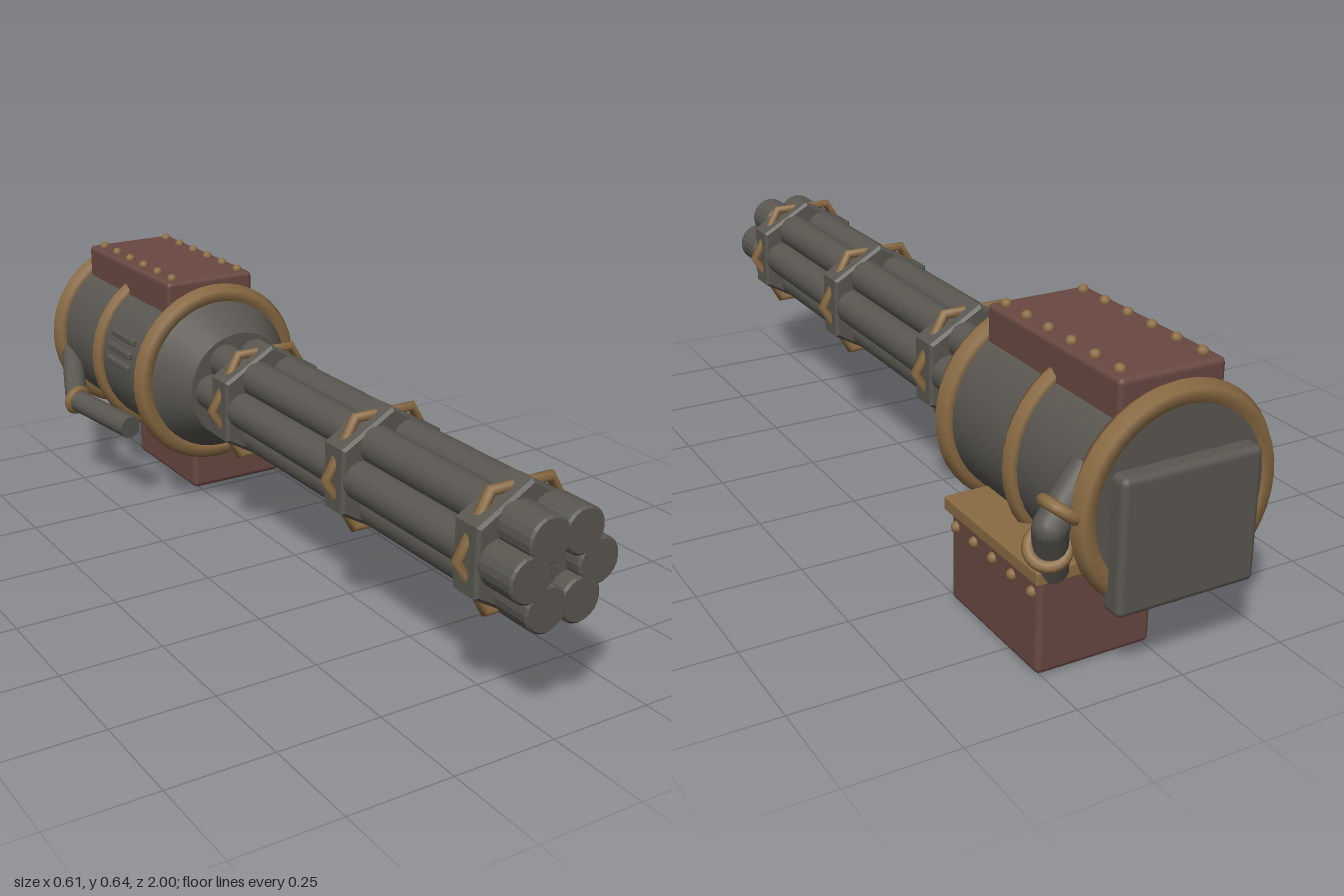
import * as THREE from 'three';
import { RoundedBoxGeometry } from 'three/addons/geometries/RoundedBoxGeometry.js';

const AXIS_Y = 0.375; // height of the barrel axis

export function createModel() {
  const steel = new THREE.MeshStandardMaterial({ name: 'gunmetal', color: 0x5a5751 });
  const brass = new THREE.MeshStandardMaterial({ name: 'brass', color: 0x8a6b43 });
  const red = new THREE.MeshStandardMaterial({ name: 'oxideRed', color: 0x694842 });
  const model = new THREE.Group();
  model.name = 'rotaryCannon';

  const add = (name, geometry, material, x = 0, y = 0, z = 0) => {
    const mesh = new THREE.Mesh(geometry, material);
    mesh.name = name;
    mesh.position.set(x, y, z);
    model.add(mesh);
    return mesh;
  };
  // Cylinder or cone along z, from z0 (back) to z1 (front)
  const along = (name, rBack, rFront, z0, z1, x = 0, y = AXIS_Y, sides = 32) =>
    add(name, new THREE.CylinderGeometry(rFront, rBack, z1 - z0, sides).rotateX(Math.PI / 2),
      steel, x, y, (z0 + z1) / 2);
  // Bevelled prism along z with the given number of sides
  const prism = (name, radius, sides, startAngle, z0, z1, bevel, x = 0, y = AXIS_Y) => {
    const points = [];
    for (let i = 0; i < sides; i++) {
      const a = startAngle + (i / sides) * Math.PI * 2;
      points.push(new THREE.Vector2(Math.cos(a), Math.sin(a)).multiplyScalar(radius - bevel));
    }
    const geometry = new THREE.ExtrudeGeometry(new THREE.Shape(points), {
      depth: z1 - z0 - 2 * bevel, bevelThickness: bevel, bevelSize: bevel, bevelSegments: 1,
    });
    return add(name, geometry, steel, x, y, z0 + bevel);
  };
  const box = (name, material, x0, x1, y0, y1, z0, z1, bevel) =>
    add(name, new RoundedBoxGeometry(x1 - x0, y1 - y0, z1 - z0, 2, bevel), material,
      (x0 + x1) / 2, (y0 + y1) / 2, (z0 + z1) / 2);
  const rivet = (x, y, z) => add('rivet', new THREE.SphereGeometry(0.013, 10, 8), brass, x, y, z);
  // Bent pipe: straight runs with ball joints
  const pipe = (name, coords, radius) => {
    const points = coords.map((p) => new THREE.Vector3(...p));
    for (let i = 0; i < points.length - 1; i++) {
      const dir = points[i + 1].clone().sub(points[i]);
      const run = add(name, new THREE.CylinderGeometry(radius, radius, dir.length(), 16), steel);
      run.position.copy(points[i]).addScaledVector(dir, 0.5);
      run.quaternion.setFromUnitVectors(new THREE.Vector3(0, 1, 0), dir.normalize());
      if (i > 0) add(name + 'Joint', new THREE.SphereGeometry(radius, 16, 12), steel, ...coords[i]);
    }
  };
  const collar = (name, at, dir, radius, tube) => {
    const ring = add(name, new THREE.TorusGeometry(radius, tube, 8, 20), brass, ...at);
    ring.quaternion.setFromUnitVectors(new THREE.Vector3(0, 0, 1), new THREE.Vector3(...dir).normalize());
  };

  // Six barrels with thicker muzzles around a core
  for (let i = 0; i < 6; i++) {
    const a = (i * Math.PI) / 3;
    const x = Math.cos(a) * 0.085, y = AXIS_Y + Math.sin(a) * 0.085;
    along('barrel', 0.045, 0.045, -0.3, 0.92, x, y, 20);
    prism('muzzle', 0.052, 20, 0, 0.9, 1, 0.005, x, y);
  }
  along('barrelCore', 0.055, 0.055, -0.3, 0.96);

  // Hexagonal clamps, each with a brass band turned half a side
  for (const z of [0.853, 0.378, -0.145]) {
    prism('barrelClamp', 0.152, 6, Math.PI / 2, z - 0.04, z + 0.04, 0.007);
    add('clampBand', new THREE.TorusGeometry(0.151, 0.013, 8, 6), brass, 0, AXIS_Y, z);
  }

  // Housing with tapered nose and brass hoops
  along('housingNose', 0.208, 0.142, -0.4, -0.275, 0, AXIS_Y, 40);
  along('housing', 0.212, 0.212, -0.96, -0.4, 0, AXIS_Y, 40);
  for (const [z, tube] of [[-0.408, 0.028], [-0.68, 0.022], [-0.938, 0.028]]) {
    add('housingHoop', new THREE.TorusGeometry(0.213, tube, 6, 40), brass, 0, AXIS_Y, z);
  }
  box('backPlate', steel, -0.165, 0.165, 0.17, 0.467, -1, -0.94, 0.015);

  // Riveted cover on top
  box('topCover', red, -0.125, 0.125, 0.48, 0.63, -0.917, -0.425, 0.012);
  for (const x of [-0.097, 0.097]) {
    for (let i = 0; i < 6; i++) rivet(x, 0.632, -0.457 - i * 0.0835);
  }

  // Ammunition box slung below, with brass lid
  box('ammoBox', red, -0.015, 0.26, 0, 0.23, -0.868, -0.515, 0.014);
  box('ammoLid', brass, -0.027, 0.272, 0.212, 0.244, -0.88, -0.503, 0.005);
  for (let i = 0; i < 5; i++) rivet(0.26, 0.183, -0.54 - i * 0.076);

  // Feed pipe on the left side
  pipe('feedPipe', [[0.18, 0.463, -0.9], [0.266, 0.357, -0.91], [0.225, 0.23, -0.855]], 0.036);
  collar('feedCollar', [0.243, 0.387, -0.907], [0.63, -0.78, -0.07], 0.038, 0.013);
  collar('feedCollar', [0.256, 0.3, -0.888], [-0.3, -0.7, 0.6], 0.038, 0.013);

  // Crank handle on the right side
  pipe('handle', [[-0.19, 0.33, -0.93], [-0.268, 0.248, -0.73], [-0.224, 0.238, -0.475]], 0.03);
  collar('handleCollar', [-0.266, 0.248, -0.725], [0.25, -0.15, 1], 0.03, 0.012);

  // Cooling slats on the right side
  for (const y of [0.395, 0.43, 0.465]) {
    const x = -Math.sqrt(0.212 ** 2 - (y - AXIS_Y) ** 2);
    box('coolingSlat', steel, x - 0.014, x + 0.02, y - 0.009, y + 0.009, -0.615, -0.485, 0.004);
  }
  return model;
}
